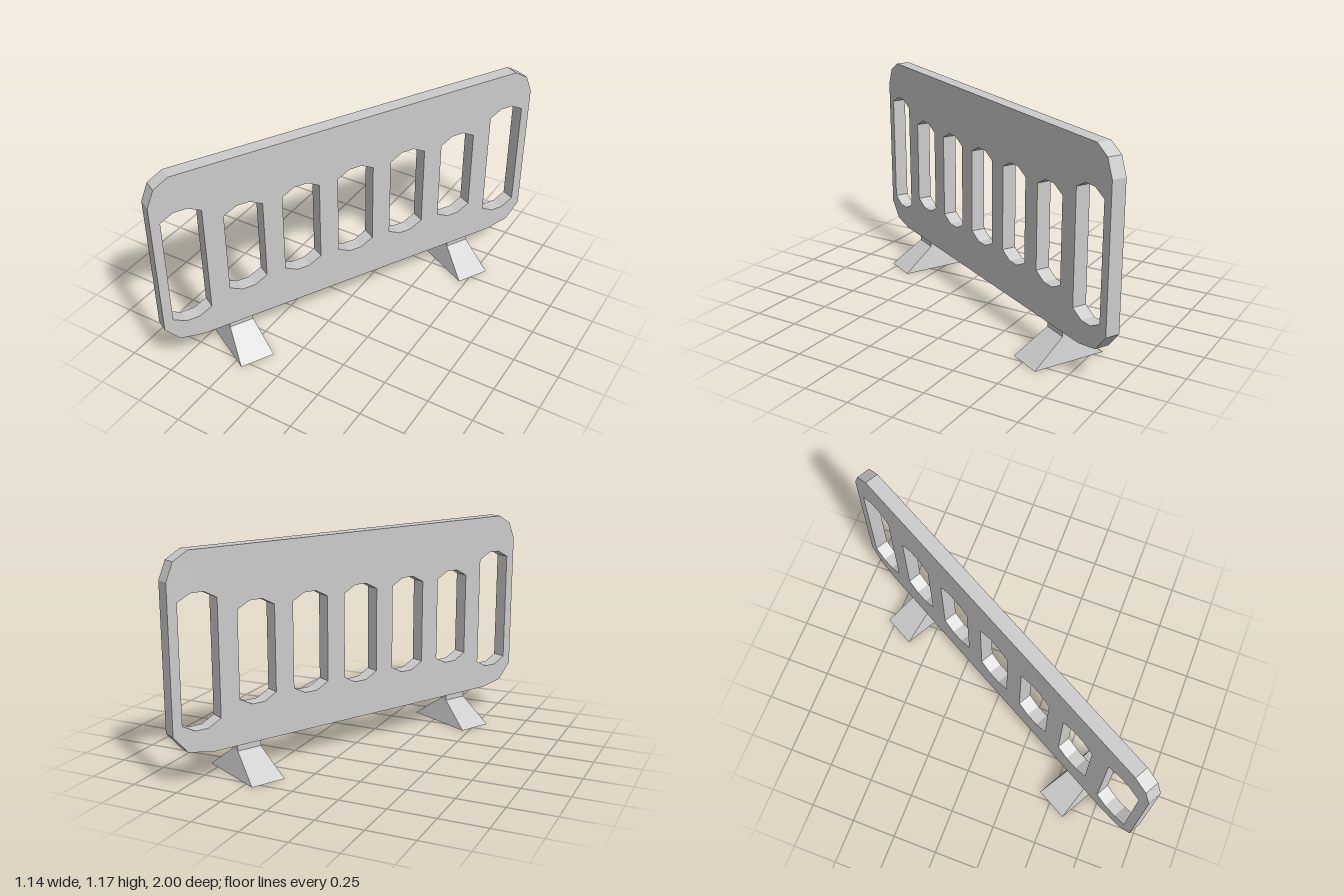
import * as THREE from 'three';

const material = new THREE.MeshStandardMaterial({ color: 0xcccccc, flatShading: true });
const THICKNESS = 0.0765;

function add(parent, name, geometry, x = 0, y = 0) {
  const mesh = new THREE.Mesh(geometry, material);
  mesh.name = name;
  mesh.position.set(x, y, 0);
  parent.add(mesh);
}

// Upright slot with clipped corners, three equal steps across its width
function slot(cx, bottom, top) {
  const w = 0.106, f = 0.036, c = 0.037;
  return new THREE.Path([
    [-w, bottom + c], [-w, top - c], [-f, top], [f, top],
    [w, top - c], [w, bottom + c], [f, bottom], [-f, bottom],
  ].map(([x, y]) => new THREE.Vector2(cx + x, y)));
}

// Panel with clipped corners and seven slots
function panelGeometry() {
  const half = [
    [0.912, 0.163], [1.042, 0.19], [1.119, 0.28],
    [1.119, 1.035], [1.081, 1.128], [1.002, 1.175],
  ];
  const mirrored = half.map(([x, y]) => [-x, y]).reverse();
  const shape = new THREE.Shape([...half, ...mirrored].map(([x, y]) => new THREE.Vector2(x, y)));
  for (let i = -3; i <= 3; i++) {
    const tall = Math.abs(i) === 3;
    shape.holes.push(slot(i * 0.3207, tall ? 0.29 : 0.365, tall ? 0.97 : 0.895));
  }
  const geometry = new THREE.ExtrudeGeometry(shape, { depth: THICKNESS, bevelEnabled: false });
  return geometry.translate(0, 0, -THICKNESS / 2);
}

// Foot base: a box tapering up to the size of the stem
function footGeometry(stemW, stemD) {
  const w = 0.19, d = 0.408, h = 0.13;
  const geometry = new THREE.BoxGeometry(w, h, d);
  const p = geometry.attributes.position;
  for (let i = 0; i < p.count; i++) {
    if (p.getY(i) > 0) {
      p.setX(i, Math.sign(p.getX(i)) * stemW / 2);
      p.setZ(i, Math.sign(p.getZ(i)) * stemD / 2);
    }
  }
  geometry.computeVertexNormals();
  return geometry.translate(0, h / 2, 0);
}

export function createModel() {
  const model = new THREE.Group();
  model.name = 'barrier';

  // The whole barrier stands diagonally
  const barrier = new THREE.Group();
  barrier.name = 'turnedBarrier';
  barrier.rotation.y = THREE.MathUtils.degToRad(61.35);
  model.add(barrier);

  add(barrier, 'panel', panelGeometry());

  // Two feet, each with a short stem under the panel
  const stemW = 0.135, stemD = 0.053;
  for (const side of [-1, 1]) {
    const foot = new THREE.Group();
    foot.name = side < 0 ? 'frontFoot' : 'backFoot';
    foot.position.x = side * 0.695;
    add(foot, 'footBase', footGeometry(stemW, stemD));
    add(foot, 'footStem', new THREE.BoxGeometry(stemW, 0.034, stemD), 0, 0.147);
    barrier.add(foot);
  }
  return model;
}
